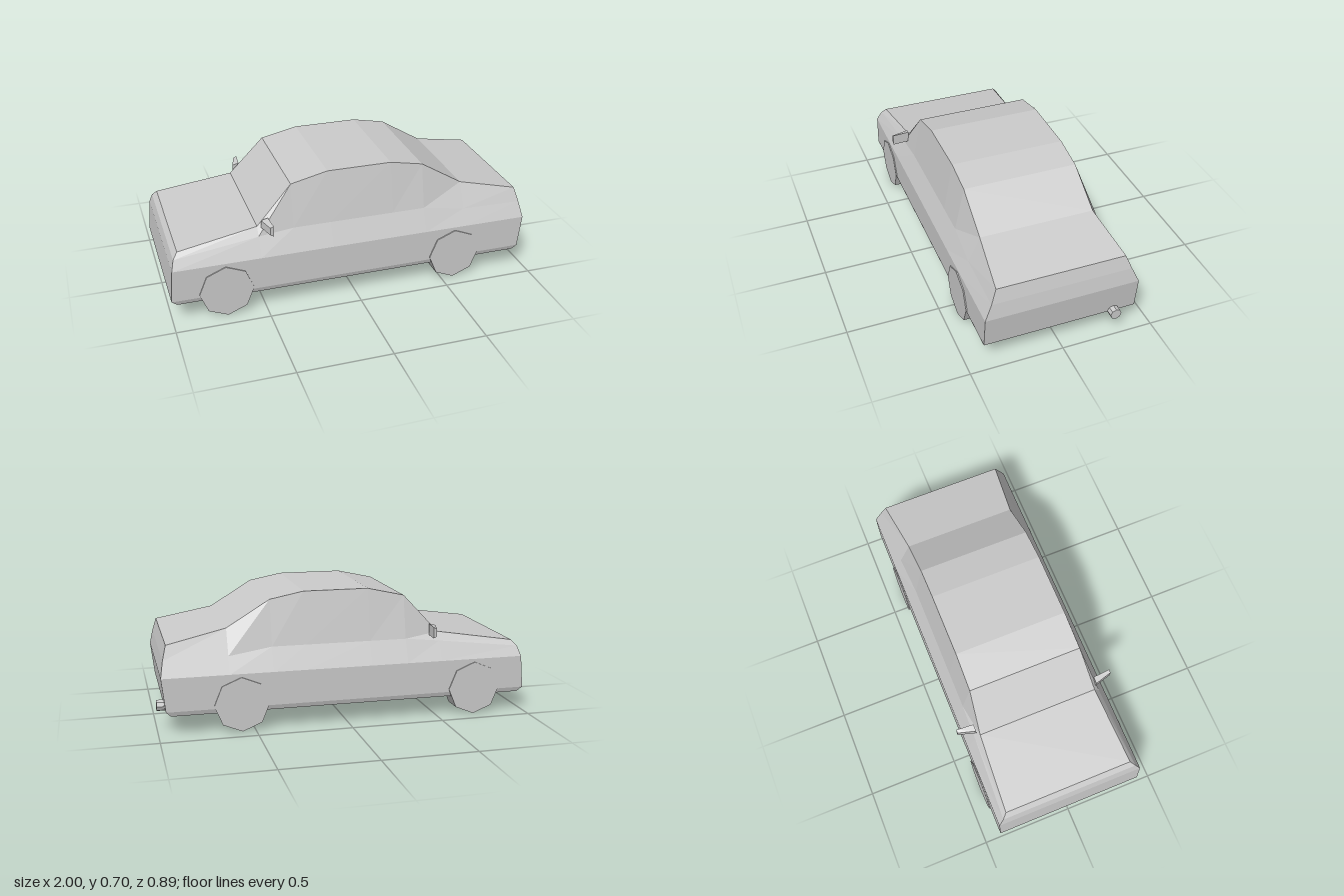
import * as THREE from 'three';

const material = new THREE.MeshStandardMaterial({ color: 0xcccccc, flatShading: true });

function named(name, geometry) {
  const mesh = new THREE.Mesh(geometry, material);
  mesh.name = name;
  return mesh;
}

// Body lofted from cross-sections running from the nose (-x) to the tail (+x)
function bodyGeometry() {
  // [x, mid height, mid half width, top height, top half width]
  const stations = [
    [-0.52, 0.41, 0.365, 0.455, 0.335],
    [-0.33, 0.43, 0.362, 0.66, 0.313],
    [-0.13, 0.43, 0.362, 0.705, 0.31],
    [0.22, 0.43, 0.362, 0.705, 0.31],
    [0.40, 0.43, 0.362, 0.67, 0.31],
    [0.63, 0.395, 0.372, 0.53, 0.31],
  ];
  // Half sections from sill to roof, as [x, y, z]
  const halves = [
    [[-0.97, 0.105, 0.405], [-1.0, 0.13, 0.413], [-0.985, 0.307, 0.413], [-0.97, 0.36, 0.385], [-0.945, 0.39, 0.36]],
    ...stations.map(([x, my, mz, ty, tz]) =>
      [[x, 0.105, 0.405], [x, 0.13, 0.413], [x, 0.307, 0.413], [x, my, mz], [x, ty, tz]]),
    [[0.935, 0.105, 0.405], [0.96, 0.13, 0.413], [0.98, 0.307, 0.413], [0.965, 0.39, 0.375], [0.945, 0.465, 0.345]],
  ];
  const rings = halves.map((h) => [...h, ...[...h].reverse().map(([x, y, z]) => [x, y, -z])]);
  const n = rings[0].length;
  const last = rings.length - 1;
  const index = [];
  const quad = (a, b, c, d) => index.push(a, b, c, a, c, d);
  for (let s = 0; s < last; s++) {
    for (let j = 0; j < n; j++) {
      const k = (j + 1) % n;
      quad(s * n + j, (s + 1) * n + j, (s + 1) * n + k, s * n + k);
    }
  }
  // Nose and tail panels
  const t = last * n;
  for (let j = 0; j < n / 2 - 1; j++) {
    quad(n - 1 - j, j, j + 1, n - 2 - j);
    quad(t + j, t + n - 1 - j, t + n - 2 - j, t + j + 1);
  }
  const geometry = new THREE.BufferGeometry();
  geometry.setAttribute('position', new THREE.Float32BufferAttribute(rings.flat(2), 3));
  geometry.setIndex(index);
  const flat = geometry.toNonIndexed();
  flat.computeVertexNormals();
  return flat;
}

// Door mirror: a box tapered outwards and swept back, with a smaller front face
function mirrorGeometry(side) {
  const geometry = new THREE.BoxGeometry(1, 1, 1);
  const p = geometry.attributes.position;
  for (let i = 0; i < p.count; i++) {
    const front = p.getX(i) < 0;
    const up = Math.sign(p.getY(i));
    const outer = p.getZ(i) * side > 0;
    const x = front ? (outer ? -0.475 : -0.502) : (outer ? -0.458 : -0.465);
    p.setXYZ(i, x, 0.473 + up * (front ? 0.021 : 0.03), side * (outer ? 0.446 : 0.35));
  }
  geometry.computeVertexNormals();
  return geometry;
}

export function createModel() {
  const car = new THREE.Group();
  car.name = 'car';
  car.add(named('body', bodyGeometry()));

  // Eight-sided wheels, a corner pointing down
  const wheelGeometry = new THREE.CylinderGeometry(0.145, 0.145, 0.11, 8).rotateX(Math.PI / 2);
  for (const side of [1, -1]) {
    const sideName = side > 0 ? 'Left' : 'Right';
    for (const [name, x] of [['front', -0.71], ['rear', 0.57]]) {
      const wheel = named(`${name}Wheel${sideName}`, wheelGeometry);
      wheel.position.set(x, 0.145, side * 0.364);
      car.add(wheel);
    }
    car.add(named(`doorMirror${sideName}`, mirrorGeometry(side)));
  }

  // Exhaust pipe under the tail
  const exhaust = named('exhaustPipe', new THREE.CylinderGeometry(0.03, 0.03, 0.08, 8).rotateZ(Math.PI / 2));
  exhaust.position.set(0.96, 0.135, -0.29);
  car.add(exhaust);
  return car;
}
